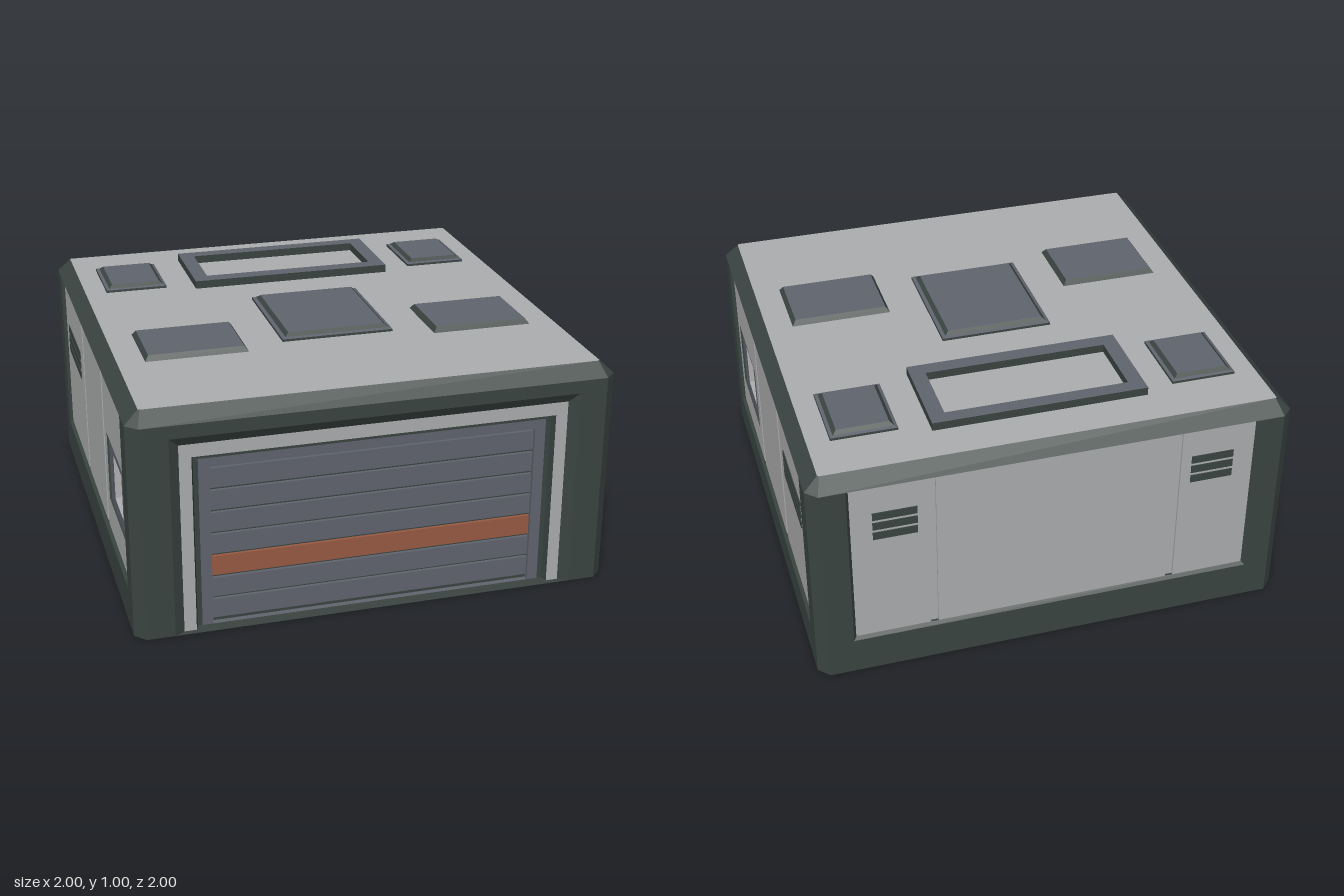
import * as THREE from 'three';

const mat = (name, color) => Object.assign(new THREE.MeshStandardMaterial({ color }), { name });

export function createModel() {
  const dark = mat('dark green frame', 0x3a4441);
  const light = mat('light grey panel', 0xacadae);
  const slate = mat('slate metal', 0x60646e);
  const orange = mat('orange stripe', 0x975a42);
  const model = new THREE.Group();
  model.name = 'garage';

  // Flat-shaded mesh from a list of four-cornered faces
  function quads(parent, name, material, faces) {
    const pos = [];
    const tri = new THREE.Triangle();
    for (const [a, b, c, d] of faces) {
      for (const t of [[a, b, c], [a, c, d]]) {
        tri.set(...t.map((p) => new THREE.Vector3(...p)));
        if (tri.getArea() > 1e-8) pos.push(...t.flat());
      }
    }
    const g = new THREE.BufferGeometry();
    g.setAttribute('position', new THREE.Float32BufferAttribute(pos, 3));
    g.computeVertexNormals();
    const mesh = new THREE.Mesh(g, material);
    mesh.name = name;
    parent.add(mesh);
    return mesh;
  }

  // Rectangles are [x0, y0, x1, y1, z] in the plane of a wall or of the roof
  const corners = ([x0, y0, x1, y1, z]) => [[x0, y0, z], [x1, y0, z], [x1, y1, z], [x0, y1, z]];
  const face = (parent, name, material, r) => quads(parent, name, material, [corners(r)]);
  function band(parent, name, material, outer, inner) {
    const a = corners(outer), b = corners(inner);
    return quads(parent, name, material, a.map((p, i) => {
      const j = (i + 1) % 4;
      return [p, a[j], b[j], b[i]];
    }));
  }
  const inset = ([x0, y0, x1, y1], d, z) => [x0 + d, y0 + d, x1 - d, y1 - d, z];
  function box(parent, name, material, [x0, y0, x1, y1, z], depth) {
    const mesh = new THREE.Mesh(new THREE.BoxGeometry(x1 - x0, y1 - y0, depth), material);
    mesh.position.set((x0 + x1) / 2, (y0 + y1) / 2, z - depth / 2);
    mesh.name = name;
    parent.add(mesh);
  }
  function plane(name, rx, ry) {
    const g = new THREE.Group();
    g.name = name;
    g.rotation.set(rx, ry, 0);
    model.add(g);
    return g;
  }

  // Corner posts, sloped cornice, base and roof, from three octagons
  function octagon(h, c, y) {
    const pts = [];
    for (let k = 0, a = [-(h - c), h], b = [h - c, h]; k < 4; k++) {
      pts.push([a[0], y, a[1]], [b[0], y, b[1]]);
      a = [a[1], -a[0]];
      b = [b[1], -b[0]];
    }
    return pts;
  }
  const low = octagon(1, 0.045, 0), eave = octagon(1, 0.045, 0.91), top = octagon(0.942, 0.006, 0.965);
  const side = (a, b, i) => [a[i], a[(i + 1) % 8], b[(i + 1) % 8], b[i]];
  const fan = (p) => [1, 3, 5].map((i) => [p[0], p[i], p[i + 1], p[(i + 2) % 8]]);
  quads(model, 'cornerPosts', dark, [1, 3, 5, 7].map((i) => side(low, eave, i)));
  quads(model, 'cornice', dark, low.map((_, i) => side(eave, top, i)));
  quads(model, 'base', dark, fan(low).map((q) => q.reverse()));
  quads(model, 'roof', light, fan(top));

  // Wall frame with a recessed backing; panels sit on it with grooves between
  const PANEL = 0.986, BACK = 0.976;
  function wallFrame(wall) {
    const opening = [-0.85, 0.16, 0.85, 0.91, 1];
    band(wall, 'wallFrame', dark, [-0.955, 0, 0.955, 0.91, 1], opening);
    band(wall, 'frameReveal', dark, opening, [-0.838, 0.172, 0.838, 0.908, PANEL]);
    band(wall, 'frameStep', dark, [-0.838, 0.172, 0.838, 0.908, PANEL], [-0.838, 0.172, 0.838, 0.908, BACK]);
  }
  function panel(wall, x0, x1) {
    box(wall, 'wallPanel', light, [x0, 0.172, x1, 0.908, PANEL], 0.01);
  }
  function groove(wall, x) {
    face(wall, 'panelGroove', light, [x - 0.016, 0.172, x + 0.016, 0.908, BACK]);
  }
  function vent(wall, x0, x1, y) {
    for (const dy of [-0.047, 0, 0.047]) {
      box(wall, 'ventSlat', dark, [x0, y + dy - 0.017, x1, y + dy + 0.017, PANEL + 0.004], 0.008);
    }
  }

  // Side walls, mirrored, each with a deep window towards the front
  for (const s of [1, -1]) {
    const wall = plane(s > 0 ? 'leftWall' : 'rightWall', 0, s * Math.PI / 2);
    const rect = (x0, y0, x1, y1, z) => [Math.min(s * x0, s * x1), y0, Math.max(s * x0, s * x1), y1, z];
    wallFrame(wall);
    const span = (f, x0, x1, ...rest) => f(wall, Math.min(s * x0, s * x1), Math.max(s * x0, s * x1), ...rest);
    span(panel, -0.264, 0.259);
    span(panel, 0.291, 0.838);
    groove(wall, s * -0.28);
    groove(wall, s * 0.275);
    span(vent, 0.375, 0.745, 0.64);

    const hole = rect(-0.78, 0.32, -0.36, 0.625, PANEL);
    const plate = inset(hole, 0.003, PANEL - 0.008);
    const mouth = rect(-0.67, 0.37, -0.47, 0.57, PANEL - 0.008);
    const pane = inset(mouth, 0.034, 0.925);
    const section = rect(-0.838, 0.172, -0.296, 0.908, PANEL);
    band(wall, 'wallPanel', light, [...section.slice(0, 4), BACK], section);
    band(wall, 'wallPanel', light, section, hole);
    band(wall, 'windowEdge', dark, hole, plate);
    band(wall, 'windowPlate', slate, plate, mouth);
    band(wall, 'windowReveal', light, mouth, pane);
    face(wall, 'windowPane', dark, pane);
  }

  // Back wall
  const back = plane('backWall', 0, Math.PI);
  wallFrame(back);
  panel(back, -0.494, 0.494);
  for (const s of [1, -1]) {
    panel(back, s > 0 ? 0.526 : -0.838, s > 0 ? 0.838 : -0.526);
    groove(back, s * 0.51);
    vent(back, s * 0.66 - 0.09, s * 0.66 + 0.09, 0.715);
  }

  // Front wall: nested door surrounds stepping inwards
  const front = plane('frontWall', 0, 0);
  const arch = (x, y, z) => [-x, 0, x, y, z];
  const steps = [
    ['wallFrame', dark, arch(0.955, 0.91, 1)],
    ['doorBevel', dark, arch(0.84, 0.855, 1)],
    ['doorSurround', light, arch(0.8, 0.815, 0.975)],
    ['doorReveal', dark, arch(0.75, 0.76, 0.975)],
    ['doorStep', dark, arch(0.74, 0.75, 0.945)],
    ['doorJamb', slate, arch(0.72, 0.735, 0.945)],
    ['jambReveal', slate, arch(0.675, 0.695, 0.945)],
  ];
  const doorBack = arch(0.675, 0.695, 0.92);
  steps.forEach(([name, m, r], i) => band(front, name, m, r, steps[i + 1]?.[2] ?? doorBack));
  face(front, 'doorBacking', dark, doorBack);

  // Shutter slats; the third from the bottom is painted
  for (let i = 0; i < 7; i++) {
    const y = 0.015 + i * 0.0965;
    box(front, i === 2 ? 'paintedSlat' : 'shutterSlat', i === 2 ? orange : slate,
      [-0.673, y + 0.006, 0.673, y + 0.09, 0.935], 0.014);
  }

  // Roof hatches: optional flange, dark bevel and flat lid
  const roof = plane('roofFittings', -Math.PI / 2, 0);
  const ROOF = 0.965;
  function hatch(x0, z0, x1, z1, flange, height) {
    let r = [x0, -z1, x1, -z0, ROOF];
    if (flange) {
      const rim = inset(r, 0.001, ROOF + 0.01);
      band(roof, 'hatchRim', dark, r, rim);
      r = inset(rim, flange, ROOF + 0.014);
      band(roof, 'hatchFlange', slate, rim, r);
    }
    const lid = inset(r, 0.016, ROOF + height);
    band(roof, 'hatchBevel', dark, r, lid);
    face(roof, 'hatchLid', slate, lid);
  }
  hatch(-0.24, -0.15, 0.24, 0.4, 0.015, 0.028);
  for (const s of [1, -1]) {
    hatch(s * 0.615 - 0.215, 0.145, s * 0.615 + 0.215, 0.47, 0, 0.022);
    hatch(s * 0.712 - 0.137, -0.73, s * 0.712 + 0.137, -0.405, 0.013, 0.027);
  }

  // Raised skylight curb
  const curb = [[-0.45, 0.355, 0.45, 0.775], [-0.385, 0.42, 0.385, 0.715]];
  band(roof, 'curbOuter', dark, [...curb[0], ROOF], [...curb[0], 1]);
  band(roof, 'curbTop', slate, [...curb[0], 1], [...curb[1], 1]);
  band(roof, 'curbInner', dark, [...curb[1], 1], [...curb[1], ROOF]);

  return model;
}
